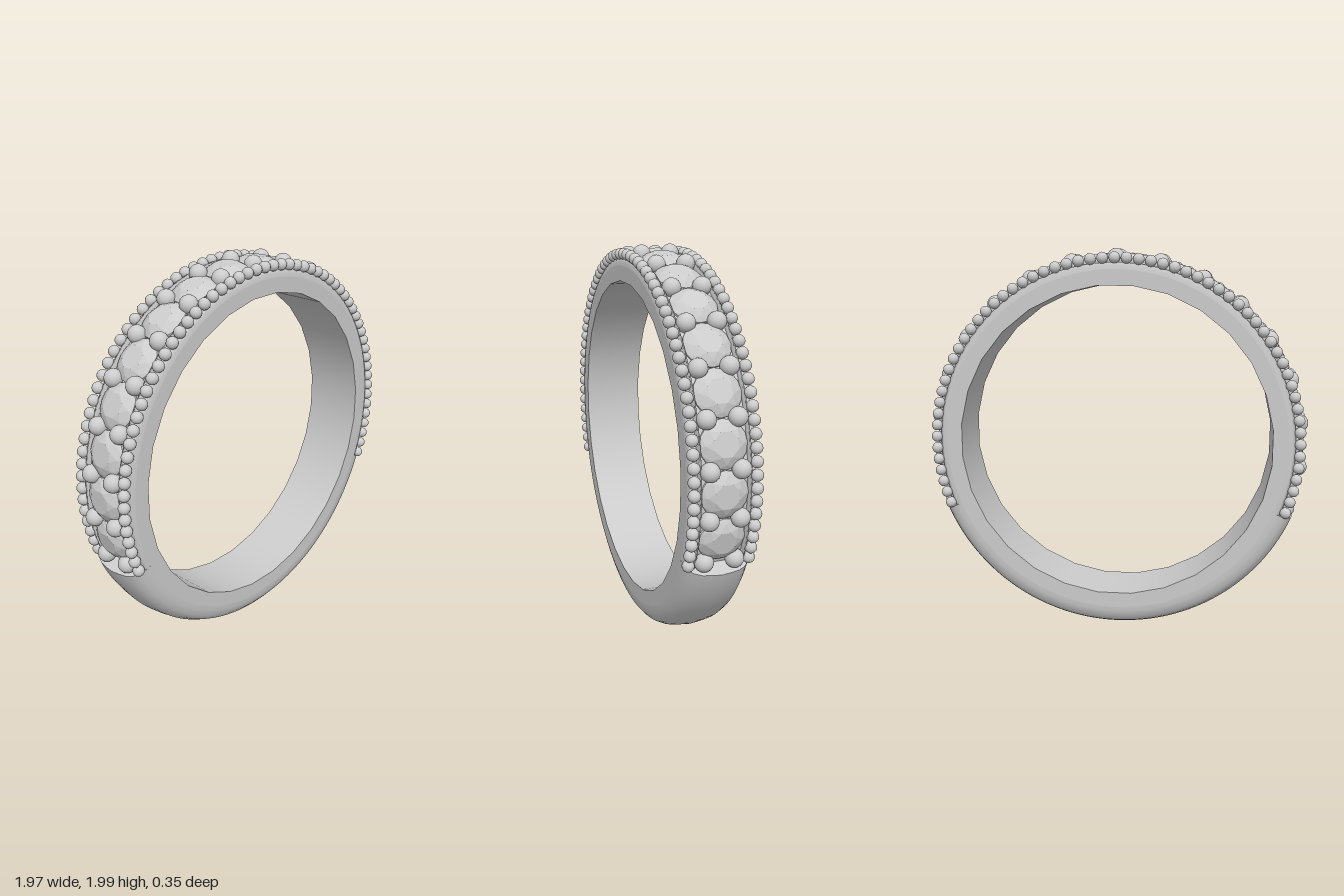
import * as THREE from 'three';
import { ConvexGeometry } from 'three/addons/geometries/ConvexGeometry.js';

const RAD = Math.PI / 180;
const CENTRE_Y = 1.003;
const INNER_R = 0.81, SIDE_R = 0.885, HALF_W = 0.16;
const SETTING_END = 67.5 * RAD; // angle from the bottom where the stones begin
const STEP = 13.8; // degrees between neighbouring stones
const STONES = 16;
const BEADS = 61;

const metal = new THREE.MeshStandardMaterial({ color: 0xcccccc });
const metalBoth = new THREE.MeshStandardMaterial({ color: 0xcccccc, side: THREE.DoubleSide });
const gemMat = new THREE.MeshStandardMaterial({ color: 0xcccccc, flatShading: true });

const vec = ([r, z]) => new THREE.Vector2(r, z);

// Sweeps a [radius, z] profile round the ring axis; angle 0 is the bottom
function sweep(name, profile, segments, start = 0, length = Math.PI * 2, material = metal) {
  const geo = new THREE.LatheGeometry(profile.map(vec), segments, start, length);
  geo.rotateX(Math.PI / 2);
  const mesh = new THREE.Mesh(geo, material);
  mesh.name = name;
  return mesh;
}

// Places a mesh on the ring, its own +y pointing outwards; degrees from the top
function placeAround(mesh, degrees, radius, z) {
  const a = degrees * RAD;
  mesh.position.set(Math.sin(a) * radius, Math.cos(a) * radius, z);
  mesh.rotation.z = -a;
  return mesh;
}

// Round brilliant: table, crown, girdle and pointed pavilion
function gemGeometry() {
  const pts = [new THREE.Vector3(0, -0.09, 0)];
  const addLoop = (n, r, y, offset) => {
    for (let i = 0; i < n; i++) {
      const a = (i + offset) / n * Math.PI * 2;
      pts.push(new THREE.Vector3(Math.cos(a) * r, y, Math.sin(a) * r));
    }
  };
  addLoop(8, 0.06, 0.038, 0.5);
  addLoop(8, 0.09, 0.023, 0);
  addLoop(16, 0.112, 0.004, 0);
  addLoop(16, 0.112, -0.006, 0);
  return new ConvexGeometry(pts);
}

export function createModel() {
  const model = new THREE.Group();
  model.name = 'ring';
  const ring = new THREE.Group();
  ring.name = 'ringBody';
  ring.position.y = CENTRE_Y;
  model.add(ring);

  // Faceted bore of the band
  ring.add(sweep('innerBand', [[INNER_R, HALF_W], [INNER_R, -HALF_W]], 28, Math.PI / 28));

  // Flat side faces
  const face = new THREE.Shape();
  face.absarc(0, 0, SIDE_R, 0, Math.PI * 2);
  const bore = [];
  for (let i = 0; i < 28; i++) {
    const a = (i + 0.5) / 28 * Math.PI * 2;
    bore.push(new THREE.Vector2(Math.cos(a) * INNER_R, Math.sin(a) * INNER_R));
  }
  face.holes.push(new THREE.Path(bore));
  const faceGeo = new THREE.ShapeGeometry(face, 112);
  for (const s of [1, -1]) {
    const side = new THREE.Mesh(faceGeo, metal);
    side.name = s > 0 ? 'frontSide' : 'backSide';
    side.position.z = s * HALF_W;
    if (s < 0) side.rotation.y = Math.PI;
    ring.add(side);
  }

  // Domed plain shank below
  const half = [[0.88, -0.16], [0.91, -0.158], [0.945, -0.148], [0.972, -0.125], [0.99, -0.09], [0.998, -0.045]];
  const dome = [...half, [1.003, 0], ...half.map(([r, z]) => [r, -z]).reverse()];
  ring.add(sweep('shank', dome, 56, -SETTING_END, SETTING_END * 2));

  // Step where the shank meets the setting
  const capGeo = new THREE.ShapeGeometry(new THREE.Shape(dome.map(vec)));
  capGeo.rotateX(Math.PI / 2);
  for (const a of [-22.5, 202.5]) {
    const cap = new THREE.Mesh(capGeo, metalBoth);
    cap.name = 'shankEnd';
    cap.rotation.z = a * RAD;
    ring.add(cap);
  }

  // Setting: stone bed and the two rails beside it
  const upper = Math.PI * 2 - SETTING_END * 2;
  const bed = [[0.88, -0.16], [0.905, -0.157], [0.92, -0.15], [0.92, 0.15], [0.905, 0.157], [0.88, 0.16]];
  ring.add(sweep('stoneBed', bed, 112, SETTING_END, upper));
  for (const z of [0.118, -0.118]) {
    const rail = [[0.91, z - 0.006], [0.943, z - 0.006], [0.943, z + 0.006], [0.91, z + 0.006]];
    ring.add(sweep('rail', rail, 112, SETTING_END, upper, metalBoth));
  }

  // Stones
  const gemGeo = gemGeometry();
  for (let i = 0; i < STONES; i++) {
    const gem = new THREE.Mesh(gemGeo, gemMat);
    gem.name = 'stone';
    ring.add(placeAround(gem, (i - (STONES - 1) / 2) * STEP, 0.928, 0));
  }

  // Round prongs between the stones
  const prongGeo = new THREE.SphereGeometry(0.045, 20, 14);
  const beadGeo = new THREE.SphereGeometry(0.029, 16, 12);
  for (const s of [1, -1]) {
    for (let i = 0; i <= STONES; i++) {
      const prong = new THREE.Mesh(prongGeo, metal);
      prong.name = 'prong';
      ring.add(placeAround(prong, (i - STONES / 2) * STEP, 0.945, s * 0.074));
    }
    // Beaded edge
    for (let i = 0; i < BEADS; i++) {
      const bead = new THREE.Mesh(beadGeo, metal);
      bead.name = 'edgeBead';
      const t = i / (BEADS - 1) * 2 - 1;
      ring.add(placeAround(bead, t * (STONES / 2 * STEP + 0.6), 0.943, s * 0.148));
    }
  }
  return model;
}
